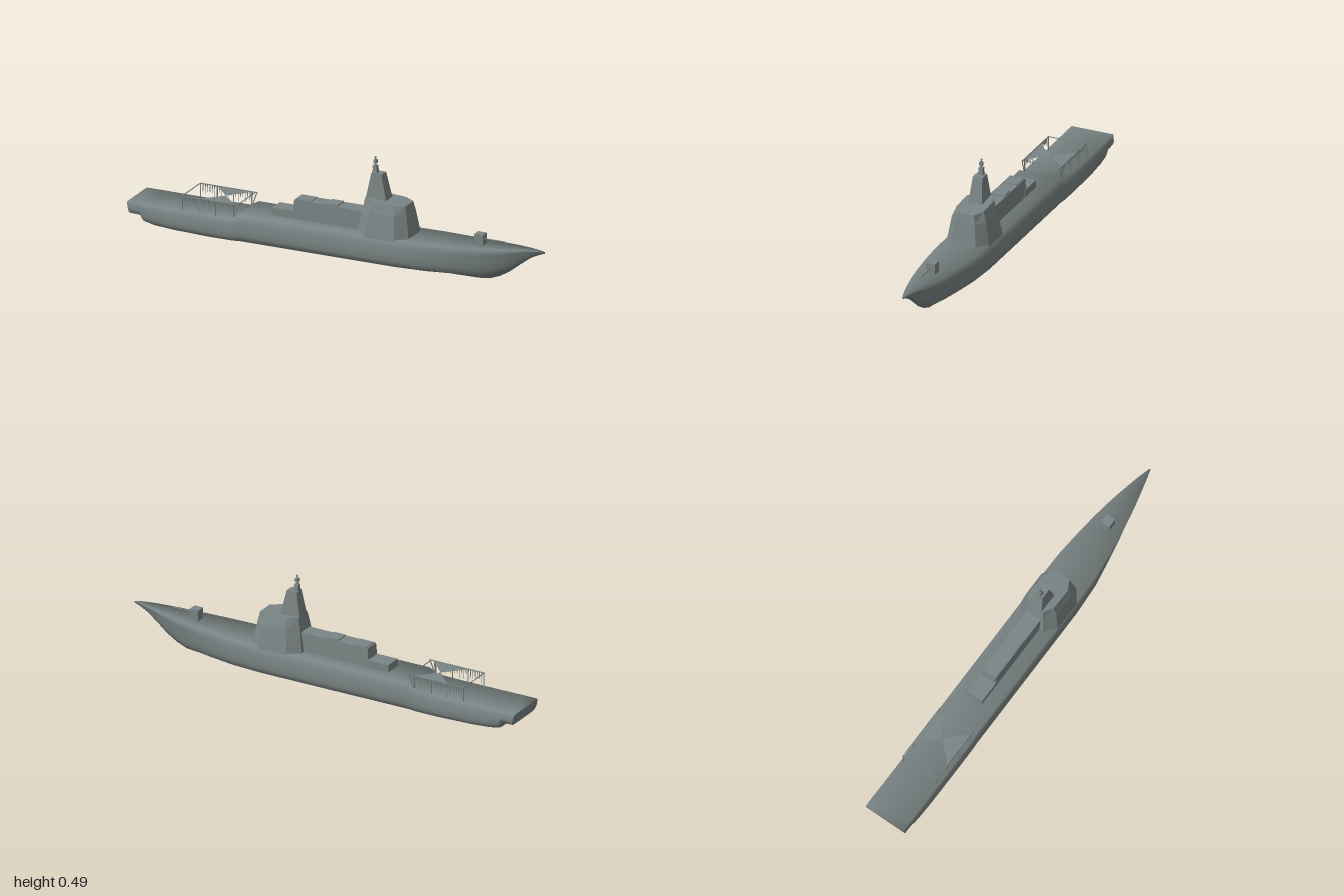
import * as THREE from 'three';
import { toCreasedNormals } from 'three/addons/utils/BufferGeometryUtils.js';

const steel = new THREE.MeshStandardMaterial({ color: 0x7b8585 });
const sheet = new THREE.MeshStandardMaterial({ color: 0x7b8585, side: THREE.DoubleSide });

const toGeometry = (pos, crease) => {
  const g = new THREE.BufferGeometry();
  g.setAttribute('position', new THREE.Float32BufferAttribute(pos, 3));
  return toCreasedNormals(g, crease);
};

// Triangle fan closing a ring; flip for the starting end of a loft
function fan(ring, flip) {
  const mid = [0, 1, 2].map((q) => ring.reduce((s, p) => s + p[q], 0) / ring.length);
  return ring.flatMap((p, j) => {
    const next = ring[(j + 1) % ring.length];
    return flip ? [...mid, ...next, ...p] : [...mid, ...p, ...next];
  });
}

// Skin over closed rings (counter-clockwise about the loft direction)
function skin(rings) {
  const n = rings[0].length, pos = [];
  for (let i = 0; i < rings.length - 1; i++) {
    for (let j = 0; j < n; j++) {
      const k = (j + 1) % n;
      const a = rings[i][j], b = rings[i][k], c = rings[i + 1][k], d = rings[i + 1][j];
      pos.push(...a, ...b, ...c, ...a, ...c, ...d);
    }
  }
  return pos;
}

// Sharp-edged solid from rings, capped at both ends
const solid = (...rings) =>
  toGeometry([...skin(rings), ...fan(rings[0], true), ...fan(rings[rings.length - 1], false)], 0.05);

// Half sections from deck edge to keel: [width fraction, height fraction]
const MID = [[0.91, 1], [0.96, 0.76], [1, 0.55], [0.985, 0.34], [0.93, 0.2], [0.82, 0.14],
  [0.62, 0.125], [0.34, 0.12], [0.22, 0.08], [0.13, 0.02], [0, 0]];
const BOW = [[1, 1], [0.86, 0.8], [0.72, 0.6], [0.6, 0.42], [0.5, 0.3], [0.42, 0.21],
  [0.33, 0.14], [0.24, 0.09], [0.17, 0.05], [0.09, 0.01], [0, 0]];
const STERN = [[0.94, 1], [0.97, 0.76], [1, 0.5], [0.98, 0.28], [0.93, 0.12], [0.82, 0.03],
  [0.62, 0], [0.34, 0], [0.22, 0], [0.13, 0], [0, 0]];

// Stations: x, keel height, deck height, half width, blend (negative to stern, positive to bow)
const STATIONS = [
  [-1, 0.065, 0.122, 0.107, -1], [-0.935, 0.063, 0.122, 0.108, -1], [-0.92, 0.036, 0.122, 0.108, -0.9],
  [-0.87, 0.02, 0.122, 0.109, -0.5], [-0.78, 0.006, 0.122, 0.11, 0], [-0.6, 0, 0.122, 0.11, 0],
  [-0.49, 0, 0.124, 0.11, 0], [-0.45, 0, 0.146, 0.11, 0], [0, 0, 0.147, 0.11, 0],
  [0.3, 0, 0.148, 0.11, 0], [0.45, 0, 0.151, 0.106, 0.1], [0.58, 0, 0.155, 0.091, 0.3],
  [0.68, 0.001, 0.159, 0.076, 0.5], [0.73, 0.006, 0.161, 0.067, 0.65], [0.78, 0.025, 0.164, 0.057, 0.8],
  [0.83, 0.055, 0.167, 0.046, 0.9], [0.88, 0.095, 0.17, 0.034, 1], [0.93, 0.133, 0.172, 0.022, 1],
  [0.97, 0.153, 0.172, 0.011, 1], [1, 0.164, 0.17, 0.002, 1],
];

function hullRing([x, keel, deck, w, blend]) {
  const target = blend < 0 ? STERN : BOW, f = Math.abs(blend);
  const half = MID.map(([mz, my], i) => {
    const z = w * THREE.MathUtils.lerp(mz, target[i][0], f);
    const t = THREE.MathUtils.lerp(my, target[i][1], f);
    const rake = x === -1 ? 0.015 * (1 - t) : 0;
    return [x + rake, keel + (deck - keel) * t, z];
  });
  const other = half.slice(0, -1).reverse().map(([px, py, pz]) => [px, py, -pz]);
  return [...half, ...other];
}

// Octagonal plan ring with chamfered corners; slope lowers it toward the bow
function octagon(y, xb, xbc, xfc, xf, zi, zo, slope = 0) {
  return [[xf, zi], [xf, -zi], [xfc, -zo], [xbc, -zo], [xb, -zi], [xb, zi], [xbc, zo], [xfc, zo]]
    .map(([x, z]) => [x, y - slope * (x - xb), z]);
}

// Four-sided ring
const rect = (y, x0, x1, z) => [[x1, y, z], [x1, y, -z], [x0, y, -z], [x0, y, z]];

export function createModel() {
  const model = new THREE.Group();
  const add = (name, geometry, x = 0, y = 0, z = 0, parent = model, material = steel) => {
    const m = new THREE.Mesh(geometry, material);
    m.name = name;
    m.position.set(x, y, z);
    parent.add(m);
    return m;
  };
  const box = (name, x0, x1, y0, y1, w, parent) =>
    add(name, new THREE.BoxGeometry(x1 - x0, y1 - y0, w), (x0 + x1) / 2, (y0 + y1) / 2, 0, parent);

  // Hull shaded softly over the deck edge, with a flat transom
  const rings = STATIONS.map(hullRing);
  add('hull', toGeometry([...skin(rings), ...fan(rings[rings.length - 1], false)], 2.2));
  add('transom', toGeometry(fan(rings[0], true), 0.5));

  // Bridge block and tower
  add('bridgeBlock', solid(
    octagon(0.14, 0.11, 0.165, 0.31, 0.362, 0.062, 0.102),
    octagon(0.25, 0.129, 0.18, 0.3, 0.344, 0.047, 0.083),
    octagon(0.305, 0.139, 0.185, 0.29, 0.335, 0.04, 0.066, 0.07),
  ));
  add('tower', solid(rect(0.24, 0.128, 0.247, 0.037), rect(0.305, 0.139, 0.235, 0.032),
    rect(0.415, 0.16, 0.21, 0.023)));

  // Mast
  const mast = new THREE.Group();
  mast.name = 'mast';
  mast.position.set(0.17, 0, 0);
  model.add(mast);
  add('mastBase', solid(rect(0.41, -0.012, 0.014, 0.013), rect(0.45, -0.006, 0.006, 0.007)), 0, 0, 0, mast);
  add('mastPole', new THREE.CylinderGeometry(0.002, 0.003, 0.045, 8), 0, 0.464, 0, mast);
  box('spreader', -0.01, 0.01, 0.438, 0.446, 0.02, mast);
  box('sensorBox', -0.007, 0.007, 0.457, 0.474, 0.016, mast);
  add('sensorBall', new THREE.SphereGeometry(0.005, 12, 8), 0, 0.485, 0, mast);

  // Aft deckhouse
  box('lowDeckhouse', -0.32, -0.2, 0.13, 0.182, 0.08);
  add('deckhouse', solid(rect(0.13, -0.222, 0.16, 0.04), rect(0.235, -0.212, 0.16, 0.037)));
  box('roofPanelAft', -0.205, -0.13, 0.23, 0.239, 0.066);
  box('roofPanelForward', -0.06, 0.0, 0.23, 0.241, 0.066);

  // Deck gun
  box('gunHouse', 0.662, 0.706, 0.15, 0.209, 0.044);
  const barrel = add('gunBarrel', new THREE.CylinderGeometry(0.003, 0.003, 0.1, 8), 0.753, 0.187, 0);
  barrel.rotation.z = Math.PI / 2;

  // Side frames on the aft deck, with a rail, full posts and pointed hanging slats
  for (const s of [1, -1]) {
    const frame = new THREE.Group();
    frame.name = s > 0 ? 'rightFrame' : 'leftFrame';
    frame.position.z = s * 0.091;
    model.add(frame);
    box('topRail', -0.735, -0.46, 0.186, 0.19, 0.003, frame);
    for (const x of [-0.732, -0.65, -0.57, -0.482]) box('post', x - 0.002, x + 0.002, 0.12, 0.19, 0.003, frame);
    for (let i = 0; i < 22; i++) {
      const length = 0.06 - 0.025 * ((i * 7) % 5) / 5;
      const slat = add('slat', new THREE.ConeGeometry(0.003, length, 4), -0.72 + i * 0.0115, 0.188 - length / 2, 0, frame);
      slat.rotation.x = Math.PI;
    }
    const brace = add('brace', new THREE.BoxGeometry(0.004, 0.075, 0.003), -0.468, 0.156, 0, frame);
    brace.rotation.z = -0.35;
  }

  // Bars joining the frames at both ends
  box('crossBarAft', -0.734, -0.731, 0.187, 0.19, 0.182);
  box('crossBarForward', -0.464, -0.461, 0.187, 0.19, 0.182);

  // Canopy of two triangles meeting at the centreline
  const canopy = new THREE.Shape();
  canopy.moveTo(-0.65, 0.091).lineTo(-0.475, 0.091).lineTo(-0.563, 0);
  for (const s of [1, -1]) {
    const panel = add('canopyPanel', new THREE.ShapeGeometry(canopy), 0, 0.187, 0, model, sheet);
    panel.rotation.x = s * Math.PI / 2;
  }
  return model;
}
